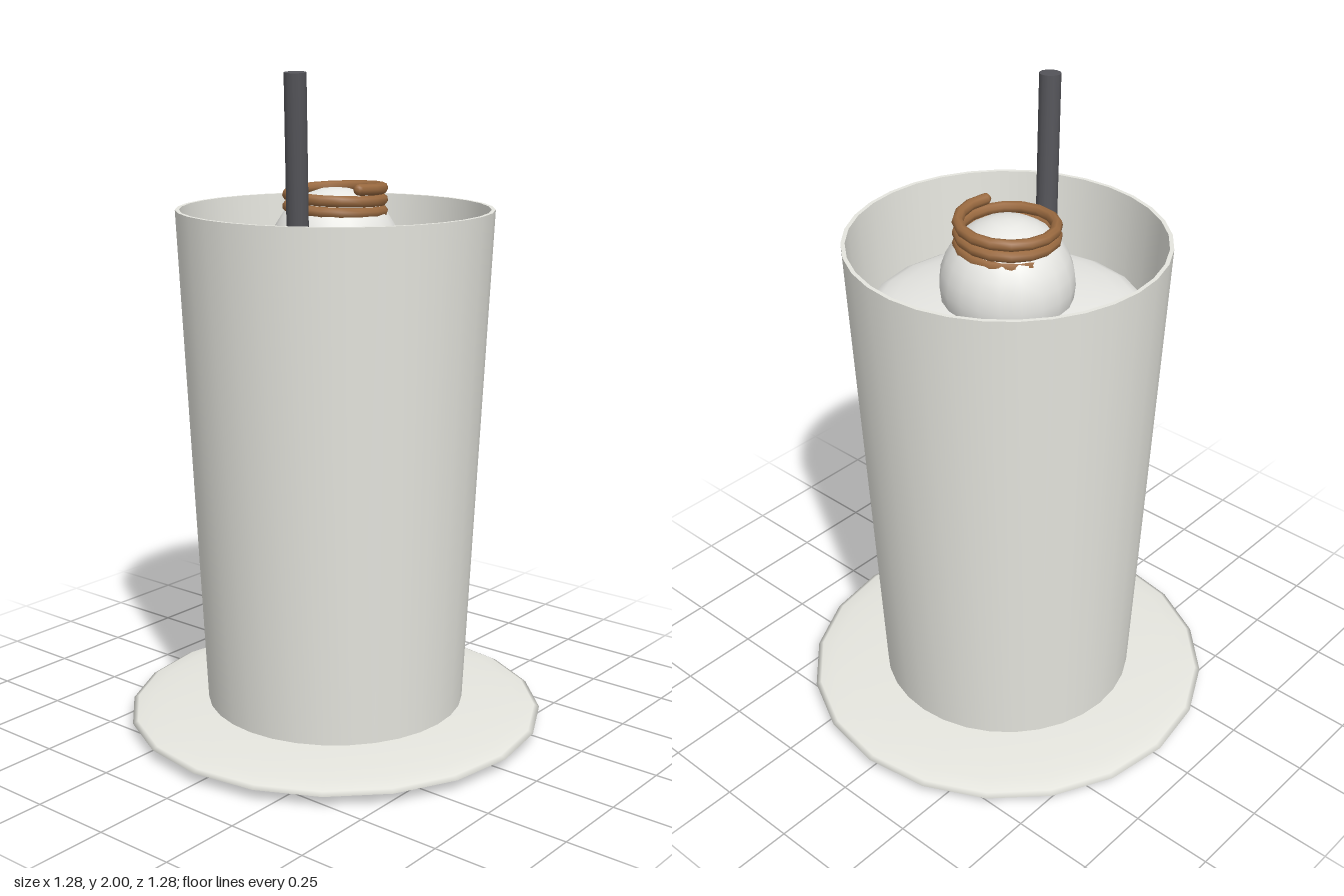
import * as THREE from 'three';
import { toCreasedNormals } from 'three/addons/utils/BufferGeometryUtils.js';

const colour = (name, color) => Object.assign(new THREE.MeshStandardMaterial({ color }), { name });

export function createModel() {
  const china = colour('off-white china', 0xe6e6df);
  const cream = colour('cream white', 0xecece8);
  const caramel = colour('caramel brown', 0x9a6a40);
  const charcoal = colour('charcoal', 0x55555a);

  const group = new THREE.Group();
  group.name = 'icedDrink';
  const add = (name, geometry, material) => {
    const mesh = new THREE.Mesh(geometry, material);
    mesh.name = name;
    group.add(mesh);
    return mesh;
  };

  // Flattened ball with 20 sides
  const ellipsoid = (name, r, halfHeight, y, material) => {
    const geo = new THREE.SphereGeometry(r, 20, 14);
    geo.scale(1, halfHeight / r, 1);
    add(name, geo, material).position.y = y;
  };

  // Saucer, drink surface and scoop
  ellipsoid('saucer', 0.642, 0.035, 0.038, china);
  ellipsoid('creamLayer', 0.42, 0.08, 1.35, cream);
  ellipsoid('scoop', 0.197, 0.197, 1.465, cream);

  // Tapered hollow cup
  const profile = [
    [0, 0.077], [0.398, 0.077], [0.47, 1.6], [0.458, 1.6], [0.388, 0.1], [0, 0.1],
  ].map(([x, y]) => new THREE.Vector2(x, y));
  add('cup', toCreasedNormals(new THREE.LatheGeometry(profile, 32), 0.6), china);

  // Caramel coil winding down around the scoop
  const turns = 3, perTurn = 16, pitch = 0.034;
  const points = [];
  for (let i = 0; i <= turns * perTurn; i++) {
    const t = i / perTurn;
    const a = 1.95 - t * Math.PI * 2;
    points.push(new THREE.Vector3(0.14 * Math.cos(a), 1.665 - pitch * t, 0.14 * Math.sin(a)));
  }
  const coil = new THREE.CatmullRomCurve3(points);
  add('caramelCoil', new THREE.TubeGeometry(coil, turns * perTurn, 0.017, 8), caramel);
  [points[0], points[points.length - 1]].forEach((p) => {
    add('coilEnd', new THREE.SphereGeometry(0.0165, 8, 6), caramel).position.copy(p);
  });

  // Leaning straw
  const top = new THREE.Vector3(-0.262, 1.998, 0.072);
  const bottom = new THREE.Vector3(-0.205, 1.15, 0.036);
  const axis = top.clone().sub(bottom);
  const straw = add('straw', new THREE.CylinderGeometry(0.032, 0.032, axis.length(), 12), charcoal);
  straw.position.copy(top).add(bottom).multiplyScalar(0.5);
  straw.quaternion.setFromUnitVectors(new THREE.Vector3(0, 1, 0), axis.normalize());

  return group;
}
